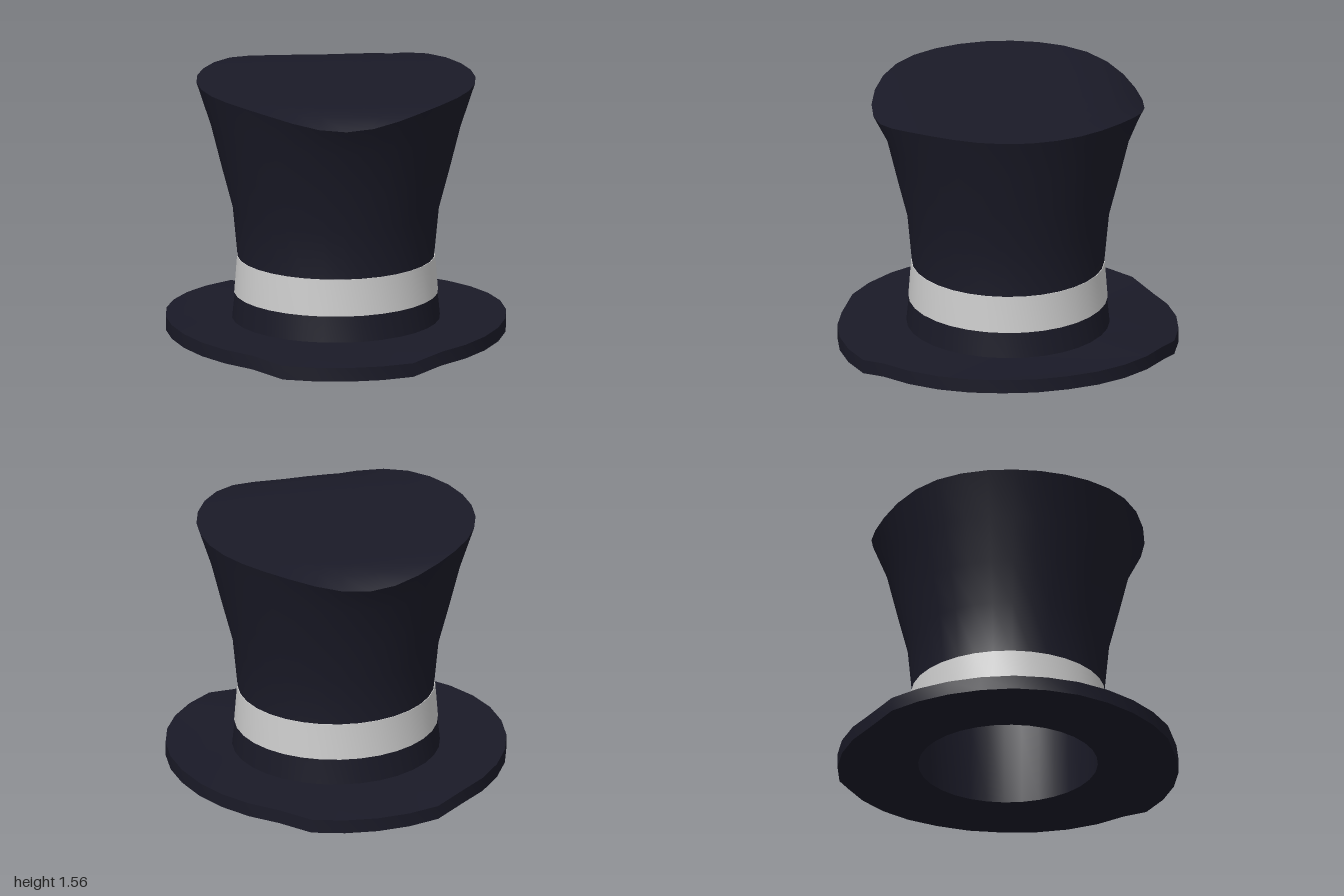
import * as THREE from 'three';
import { toCreasedNormals } from 'three/addons/utils/BufferGeometryUtils.js';

const SEGMENTS = 32;
const felt = new THREE.MeshStandardMaterial({ color: 0x1a1a27 });
const ribbon = new THREE.MeshStandardMaterial({ color: 0xcccccc });

// Revolve a profile, then move its vertices by an optional rule.
function revolve(name, profile, material, rule) {
  const points = profile.map(([r, y]) => new THREE.Vector2(r, y));
  const geometry = new THREE.LatheGeometry(points, SEGMENTS);
  const pos = geometry.attributes.position;
  const v = new THREE.Vector3();
  for (let i = 0; i < pos.count; i++) {
    v.fromBufferAttribute(pos, i);
    rule(v);
    pos.setXYZ(i, v.x, v.y, v.z);
  }
  const mesh = new THREE.Mesh(toCreasedNormals(geometry, 0.6), material);
  mesh.name = name;
  return mesh;
}

// The crown is slightly narrower front to back.
const narrow = (v) => { v.z *= 0.975; };

// The top rolls down towards the front and back.
function rollTop(v) {
  narrow(v);
  if (v.y > 1.5) v.y -= 0.1 * Math.pow(Math.abs(v.z) / 0.8, 7);
}

// Height of the brim's lower edge, per step from the side to the front.
const edgeLift = [0.06, 0.06, 0.055, 0.05, 0.045, 0.04, 0, 0, 0];

// The brim rises at the sides and dips at the front and back.
function curlBrim(v) {
  const r = Math.hypot(v.x, v.z);
  const t = Math.max(0, (r - 0.6) / 0.4);
  const angle = Math.atan2(Math.abs(v.z), Math.abs(v.x));
  v.y += t * (edgeLift[Math.round(angle / (Math.PI * 2 / SEGMENTS))] - 0.04);
  if (r < 0.7) narrow(v);
}

export function createModel() {
  const hat = new THREE.Group();
  hat.name = 'topHat';

  // Flared wall of the crown
  hat.add(revolve('crown', [
    [0.612, 0.11], [0.595, 0.28], [0.578, 0.5], [0.607, 0.8],
    [0.67, 1.04], [0.735, 1.3], [0.82, 1.56],
  ], felt, rollTop));

  // Curved top, in rings so it can bend
  const rings = [];
  for (let i = 0; i <= 8; i++) rings.push([0.82 * (1 - i / 8), 1.56]);
  hat.add(revolve('crownTop', rings, felt, rollTop));

  // Ribbon around the base of the crown
  hat.add(revolve('band', [
    [0.59, 0.28], [0.599, 0.28], [0.582, 0.5], [0.573, 0.5],
  ], ribbon, narrow));

  // Brim: underside, outer edge and upper side
  hat.add(revolve('brim', [
    [0.54, 0.04], [0.6, 0.04], [1, 0.04], [1, 0.123], [0.6, 0.126], [0.54, 0.126],
  ], felt, curlBrim));

  // Hollow inside of the crown
  hat.add(revolve('lining', [
    [0, 1.42], [0.73, 1.42], [0.69, 1.3], [0.625, 1.04],
    [0.562, 0.8], [0.533, 0.5], [0.54, 0.04],
  ], felt, narrow));

  return hat;
}
